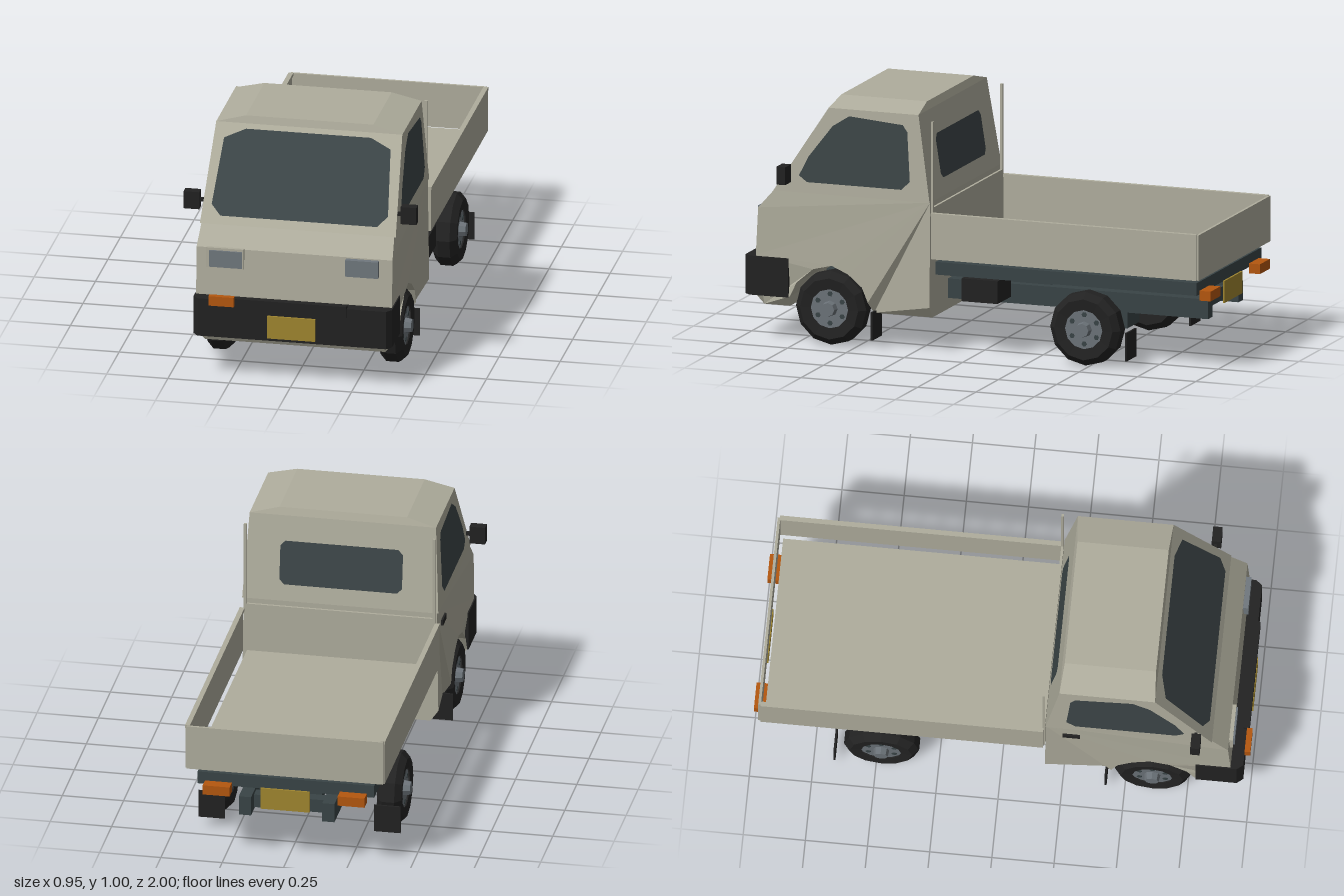
import * as THREE from 'three';

export function createModel() {
  const root = new THREE.Group();
  const mat = (name, color, extra = {}) => {
    const m = new THREE.MeshStandardMaterial({ color, ...extra });
    m.name = name;
    return m;
  };
  const D = { side: THREE.DoubleSide };
  const paint = mat('cream paint', 0xafad9d, D);
  const glass = mat('dark glass', 0x3c4547, D);
  const black = mat('black rubber', 0x222222, D);
  const slate = mat('slate chassis', 0x394446);
  const steel = mat('wheel steel', 0x6b7278);
  const lamp = mat('lamp glass', 0x70787e);
  const orange = mat('orange lens', 0xb4570f);
  const yellow = mat('yellow plate', 0xa0862f);

  const add = (name, geo, material, parent = root) => {
    const g = geo.index ? geo.toNonIndexed() : geo;
    g.computeVertexNormals(); // faceted look
    const mesh = new THREE.Mesh(g, material);
    mesh.name = name;
    parent.add(mesh);
    return mesh;
  };
  // box given by its limits
  const box = (name, m, x0, x1, y0, y1, z0, z1) => {
    const b = add(name, new THREE.BoxGeometry(x1 - x0, y1 - y0, z1 - z0), m);
    b.position.set((x0 + x1) / 2, (y0 + y1) / 2, (z0 + z1) / 2);
    return b;
  };
  const shape = pts => new THREE.Shape(pts.map(p => new THREE.Vector2(...p)));
  // flat outline whose points are placed in space by a rule
  const panel = (name, m, pts, rule) => {
    const g = new THREE.ShapeGeometry(shape(pts));
    const p = g.attributes.position;
    for (let i = 0; i < p.count; i++) p.setXYZ(i, ...rule(p.getX(i), p.getY(i)));
    return add(name, g, m);
  };

  // lower cab: side profile with the wheel arch, narrowed at the sill
  const profile = [
    [0.18, 0.62], [0.18, 0.19], [0.18, 0.145], [0.43, 0.145], [0.445, 0.19], [0.47, 0.25],
    [0.53, 0.3], [0.6, 0.33], [0.68, 0.31], [0.75, 0.25], [0.78, 0.19], [0.79, 0.145],
    [0.9, 0.145], [0.925, 0.19], [0.925, 0.35], [0.915, 0.545], [0.85, 0.62],
  ];
  const lower = new THREE.ExtrudeGeometry(shape(profile), { depth: 0.8, bevelEnabled: false });
  lower.translate(0, 0, -0.4);
  lower.rotateY(-Math.PI / 2);
  // the turn maps profile z onto +z
  const lp = lower.attributes.position;
  for (let i = 0; i < lp.count; i++) {
    const y = lp.getY(i);
    const s = y < 0.16 ? 0.92 : y > 0.6 ? 0.985 : 1;
    lp.setX(i, lp.getX(i) * s);
  }
  add('lowerCab', lower, paint);

  // upper cab and roof: rings of [half width, front z, back z, y]
  const rings = [[0.4, 0.85, 0.18, 0.62], [0.38, 0.62, 0.235, 0.972], [0.26, 0.612, 0.245, 1.003]];
  const verts = [], faces = [];
  rings.forEach(([w, f, b, y]) => verts.push(w, y, f, w, y, b, -w, y, b, -w, y, f));
  for (let r = 0; r < 2; r++) for (let i = 0; i < 4; i++) {
    const a = r * 4 + i, b = r * 4 + (i + 1) % 4;
    faces.push(a, b, b + 4, a, b + 4, a + 4);
  }
  faces.push(8, 9, 10, 8, 10, 11);
  const upper = new THREE.BufferGeometry();
  upper.setAttribute('position', new THREE.Float32BufferAttribute(verts, 3));
  upper.setIndex(faces);
  add('upperCab', upper, paint);

  // windows
  const frontZ = y => 0.85 - (y - 0.62) * 0.23 / 0.352;
  const sideX = y => 0.4 - (y - 0.62) * 0.02 / 0.352;
  const backZ = y => 0.18 + (y - 0.62) * 0.055 / 0.352;
  panel('windscreen', glass, [[-0.32, 0.652], [0.32, 0.652], [0.36, 0.69], [0.34, 0.92], [0.255, 0.955],
    [-0.255, 0.955], [-0.34, 0.92], [-0.36, 0.69]], (x, y) => [x, y, frontZ(y) + 0.005]);
  const sideWindow = [[0.74, 0.69], [0.7, 0.77], [0.6, 0.9], [0.53, 0.945], [0.3, 0.927],
    [0.28, 0.9], [0.265, 0.7], [0.3, 0.665], [0.705, 0.665]];
  for (const s of [1, -1])
    panel('sideWindow', glass, sideWindow, (z, y) => [s * (sideX(y) + 0.004), y, z]);
  panel('rearWindow', glass, [[-0.25, 0.71], [-0.23, 0.69], [0.23, 0.69], [0.25, 0.71], [0.25, 0.85],
    [0.23, 0.87], [-0.23, 0.87], [-0.25, 0.85]], (x, y) => [x, y, backZ(y) - 0.005]);

  // wrap-around bumper, front strip, lamps and plate
  const bumper = new THREE.ExtrudeGeometry(shape([[-0.405, 0.785], [-0.405, 0.95], [-0.385, 0.975],
    [0.385, 0.975], [0.405, 0.95], [0.405, 0.785], [0.39, 0.785], [0.39, 0.925], [-0.39, 0.925],
    [-0.39, 0.785]]), { depth: 0.16, bevelEnabled: false });
  bumper.rotateX(Math.PI / 2);
  bumper.translate(0, 0.346, 0);
  add('bumper', bumper, black);
  box('bumperStrip', black, -0.23, 0.225, 0.312, 0.358, 0.96, 0.985);
  box('frontIndicator', orange, -0.335, -0.232, 0.327, 0.367, 0.975, 0.998);
  box('frontPlate', yellow, -0.098, 0.098, 0.2, 0.295, 0.978, 0.987);
  box('headlightSurround', paint, -0.358, -0.205, 0.465, 0.55, 0.915, 0.93);
  for (const s of [-1, 1])
    box('headlight', lamp, s * 0.278 - 0.067, s * 0.278 + 0.067, 0.47, 0.54, 0.915, 0.937);

  // mirrors, guard bars and door handle
  for (const s of [-1, 1]) {
    box('mirror', black, s * 0.443 - 0.032, s * 0.443 + 0.032, 0.662, 0.735, 0.77, 0.808);
    box('mirrorArm', black, s * 0.405 - 0.015, s * 0.405 + 0.015, 0.69, 0.705, 0.78, 0.792);
    box('guardBar', paint, s * 0.385 - 0.006, s * 0.385 + 0.006, 0.58, 0.95, 0.168, 0.178);
  }
  box('doorHandle', black, -0.406, -0.398, 0.535, 0.56, 0.25, 0.32);

  // load bed
  box('bedFloor', paint, -0.378, 0.378, 0.385, 0.395, -0.95, 0.17);
  box('headboard', paint, -0.39, 0.39, 0.39, 0.6, 0.168, 0.178);
  for (const s of [-1, 1]) {
    box('bedSide', paint, s * 0.4 - 0.006, s * 0.4 + 0.006, 0.392, 0.578, -0.965, 0.172);
    box('bedSideLip', paint, s * 0.398 - 0.01, s * 0.398 + 0.01, 0.567, 0.58, -0.965, 0.172);
  }
  box('tailgate', paint, -0.4, 0.4, 0.392, 0.578, -0.974, -0.963);

  // chassis
  box('bedFrame', slate, -0.36, 0.36, 0.32, 0.372, -0.95, 0.17);
  box('centreBlock', slate, -0.16, 0.16, 0.25, 0.325, -0.25, 0.05);
  box('bedSpacer', slate, -0.3, 0.3, 0.37, 0.387, -0.72, -0.25);
  for (const s of [-1, 1])
    box('rail', slate, s * 0.17 - 0.025, s * 0.17 + 0.025, 0.19, 0.27, -0.935, 0.7);
  for (const z of [-0.85, -0.48, -0.25, 0.05])
    box('crossMember', slate, -0.17, 0.17, 0.2, 0.255, z - 0.025, z + 0.025);
  box('batteryBox', black, 0.22, 0.37, 0.222, 0.315, -0.1, 0.055);

  // rear lamps and plate
  for (const s of [-1, 1])
    box('rearLamp', orange, s * 0.275 - 0.055, s * 0.275 + 0.055, 0.295, 0.335, -0.998, -0.95);
  box('rearPlate', yellow, -0.1, 0.1, 0.24, 0.33, -0.97, -0.962);

  // wheels, axles and mud flaps
  const tyre = [[0.08, -0.045], [0.125, -0.05], [0.151, -0.025], [0.151, 0.025], [0.125, 0.05], [0.08, 0.045]];
  for (const z of [0.61, -0.48]) {
    for (const s of [-1, 1]) {
      const wheel = new THREE.Group();
      wheel.name = 'wheel';
      wheel.position.set(s * 0.353, 0.153, z);
      wheel.rotation.z = -s * Math.PI / 2;
      root.add(wheel);
      add('tyre', new THREE.LatheGeometry(tyre.map(p => new THREE.Vector2(...p)), 12), black, wheel);
      add('rim', new THREE.CylinderGeometry(0.085, 0.085, 0.075, 12), steel, wheel);
      add('hub', new THREE.CylinderGeometry(0.028, 0.038, 0.065, 8), steel, wheel).position.y = 0.033;
      for (let i = 0; i < 6; i++) {
        const a = i * Math.PI / 3;
        add('rimHole', new THREE.CylinderGeometry(0.011, 0.011, 0.004, 6), slate, wheel)
          .position.set(Math.cos(a) * 0.06, 0.038, Math.sin(a) * 0.06);
      }
      const fz = z - 0.186;
      box('mudFlap', black, s * 0.358 - 0.054, s * 0.358 + 0.054, 0.04, 0.155, fz - 0.004, fz + 0.004);
    }
    box('axle', slate, -0.33, 0.33, 0.135, 0.172, z - 0.02, z + 0.02);
    box('axleHousing', slate, -0.067, 0.067, 0.095, 0.2, z - 0.06, z + 0.06);
  }
  return root;
}
